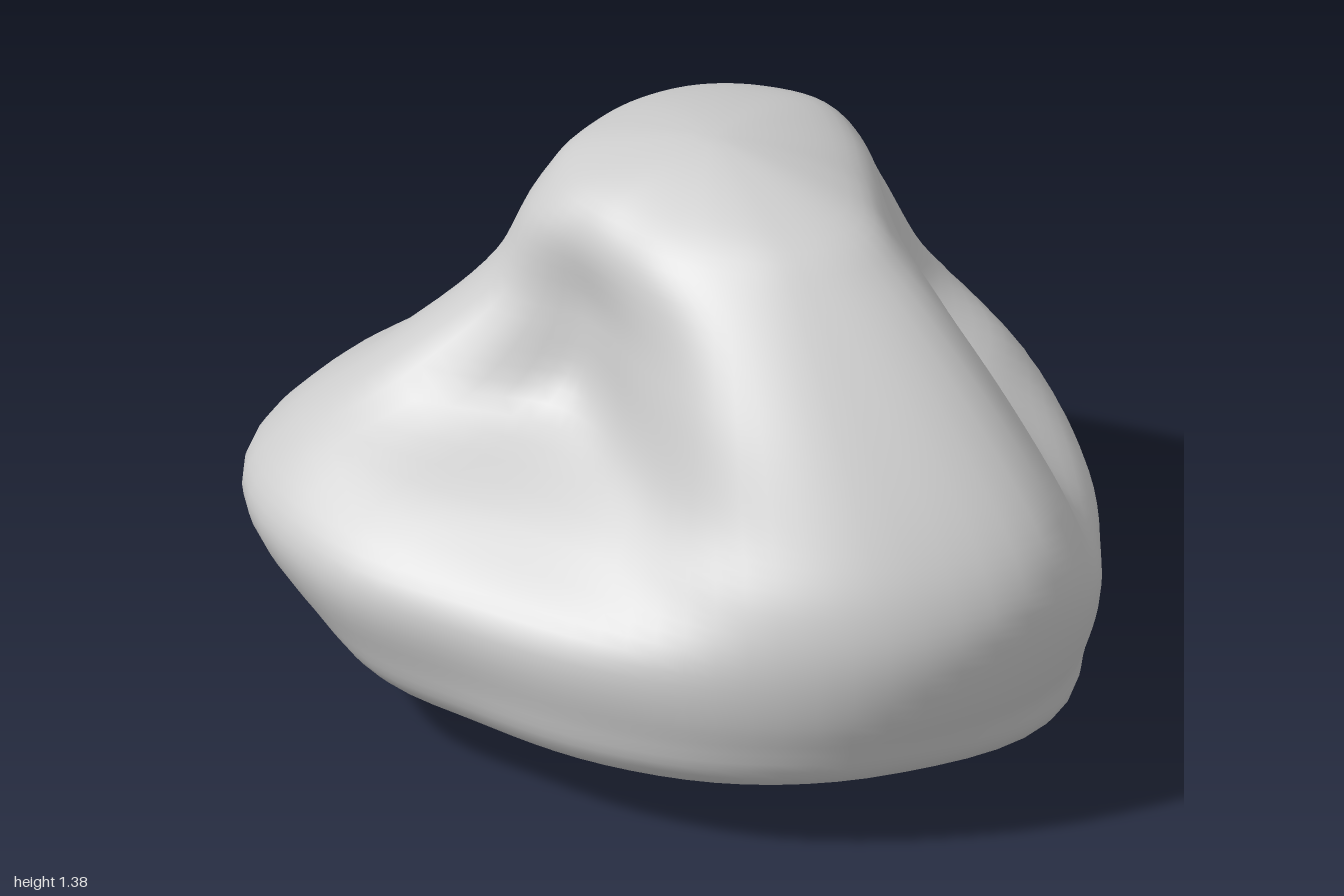
import * as THREE from 'three';
import { mergeVertices } from 'three/addons/utils/BufferGeometryUtils.js';

// Radii of the boulder around its upright axis, every 22.5 degrees from +x towards +z
const underside = [
  { y: 0, r: new Array(16).fill(0) },
  { y: .06, r: [.45, .46, .48, .51, .53, .52, .50, .48, .48, .47, .42, .36, .33, .35, .40, .43] },
  { y: .17, r: [.70, .72, .76, .83, .96, .92, .87, .82, .80, .84, .77, .68, .62, .66, .74, .71] },
  { y: .32, r: [.79, .81, .82, .90, 1.04, 1.02, .95, .89, .88, .96, .98, .87, .77, .79, .85, .80] },
  { y: .5, r: [.82, .83, .84, .92, 1.09, 1.06, .96, .89, .89, 1.0, 1.08, .97, .80, .81, .88, .835] },
];
// Three hollows open between three ridges
const crown = [
  { y: .65, r: [.79, .74, .66, .77, 1.08, 1.03, .90, .73, .70, .83, .98, .86, .69, .70, .82, .82] },
  { y: .8, r: [.70, .51, .41, .63, 1.0, .93, .78, .55, .43, .47, .76, .67, .53, .55, .71, .73] },
  { y: 1.0, r: [.59, .41, .36, .53, .81, .74, .63, .46, .36, .36, .51, .50, .42, .45, .58, .60] },
  { y: 1.2, r: [.46, .41, .39, .44, .57, .51, .44, .38, .34, .35, .41, .41, .39, .41, .46, .47] },
  { y: 1.31, r: [.34, .30, .28, .32, .38, .33, .27, .23, .22, .24, .27, .30, .30, .31, .32, .33] },
  { y: 1.375, r: new Array(16).fill(0) },
];
const sections = [...underside, ...crown];
const AXIS = { x: .05, z: -.1 };

// Smooth interpolation through four neighbouring values
function cubic(a, b, c, d, t) {
  return b + .5 * t * (c - a + t * (2 * a - 5 * b + 4 * c - d + t * (3 * (b - c) + d - a)));
}

// Radius of one section at any angle, wrapping round
function radiusAt(r, angle) {
  const n = r.length;
  const f = ((angle / (2 * Math.PI)) * n + n) % n;
  const i = Math.floor(f);
  const at = k => r[(i + k + n) % n];
  return cubic(at(-1), at(0), at(1), at(2), f - i);
}

function boulderGeometry() {
  const around = 80, rows = 60;
  const geo = new THREE.SphereGeometry(1, around, rows);
  geo.deleteAttribute('uv');
  geo.deleteAttribute('normal');
  const pos = geo.attributes.position;
  const last = sections.length - 1;

  for (let i = 0; i < pos.count; i++) {
    const row = Math.floor(i / (around + 1));
    const f = (1 - row / rows) * last;
    const k = Math.min(Math.floor(f), last - 1);
    const angle = Math.atan2(pos.getZ(i), pos.getX(i));
    // beyond a pole the profile mirrors, so both ends close smoothly
    const radius = j => {
      if (j < 0) return -radiusAt(sections[1].r, angle);
      if (j > last) return -radiusAt(sections[last - 1].r, angle);
      return radiusAt(sections[j].r, angle);
    };
    const height = j => sections[j < 0 ? 1 : j > last ? last - 1 : j].y;
    const ends = row === 0 || row === rows;
    const r = ends ? 0 : cubic(radius(k - 1), radius(k), radius(k + 1), radius(k + 2), f - k);
    const y = cubic(height(k - 1), height(k), height(k + 1), height(k + 2), f - k);
    pos.setXYZ(i, AXIS.x + r * Math.cos(angle), y, AXIS.z + r * Math.sin(angle));
  }
  const welded = mergeVertices(geo, 1e-4);
  welded.computeVertexNormals();
  return welded;
}

export function createModel() {
  const group = new THREE.Group();
  group.name = 'rock';
  const boulder = new THREE.Mesh(
    boulderGeometry(),
    new THREE.MeshStandardMaterial({ color: 0xcccccc })
  );
  boulder.name = 'boulder';
  group.add(boulder);
  return group;
}
